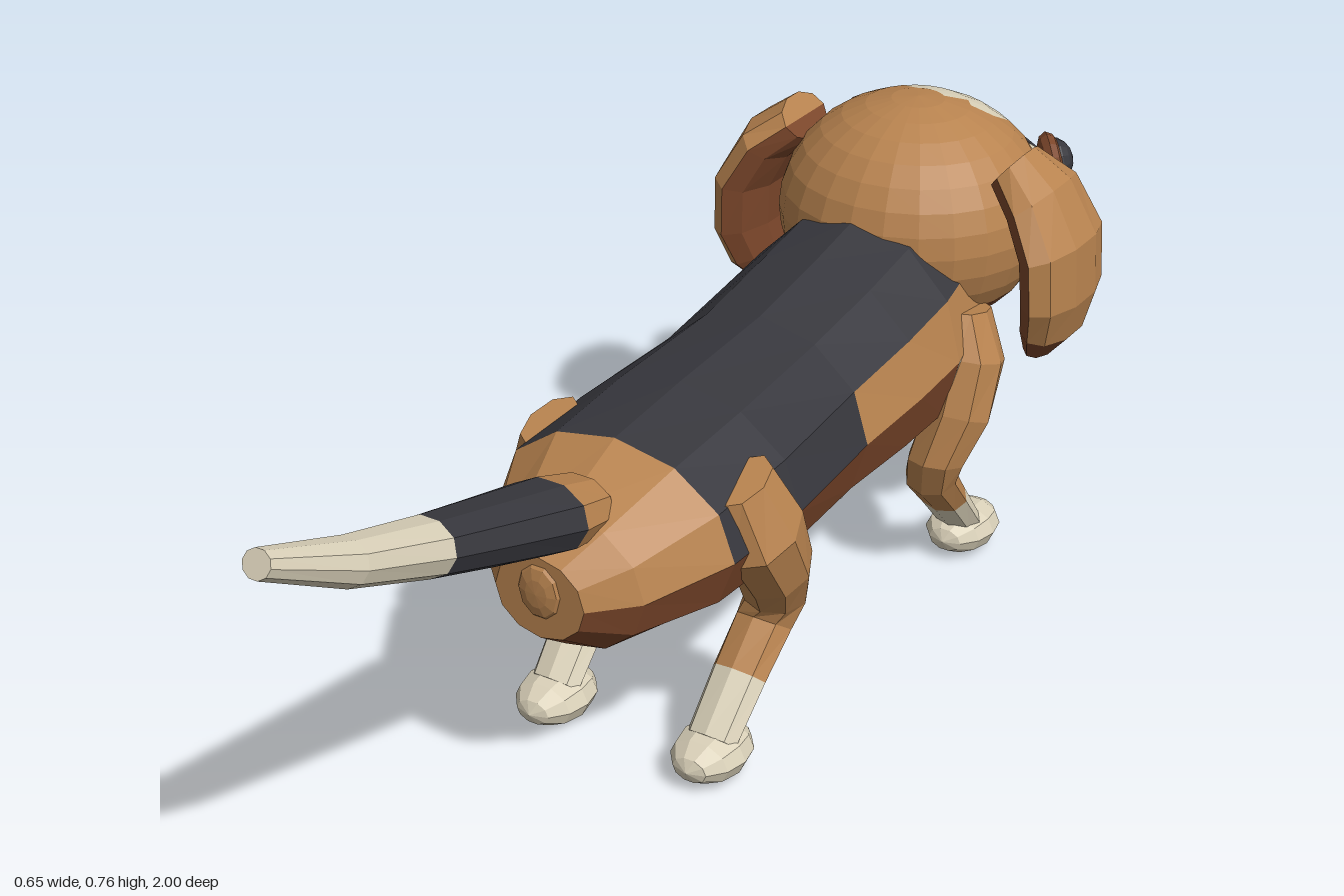
import * as THREE from 'three';

const mat = (name, color) => {
  const m = new THREE.MeshStandardMaterial({ color, flatShading: true });
  m.name = name;
  return m;
};

export function createModel() {
  const dog = new THREE.Group();
  dog.name = 'dog';
  const TAN = 0, CHESTNUT = 1, CREAM = 2, BLACK = 3;
  const mats = [mat('tan', 0xb8834f), mat('chestnut', 0x7c472b), mat('cream', 0xdad1b9), mat('charcoal', 0x37373d)];

  // Mesh from faces sorted by colour; each face is a list of triangle corners
  function painted(name, faces) {
    const geo = new THREE.BufferGeometry(), pos = [], used = [];
    mats.forEach((m, k) => {
      const start = pos.length / 3;
      faces.filter(f => f.color === k).forEach(f => f.points.forEach(p => pos.push(p.x, p.y, p.z)));
      const count = pos.length / 3 - start;
      if (count) { geo.addGroup(start, count, used.length); used.push(m); }
    });
    geo.setAttribute('position', new THREE.Float32BufferAttribute(pos, 3));
    geo.computeVertexNormals();
    const mesh = new THREE.Mesh(geo, used.length > 1 ? used : used[0]);
    mesh.name = name;
    dog.add(mesh);
    return mesh;
  }

  // Skin over rings [x, y, z, ru, rv]; u is the ring's fixed axis, v follows the path
  function loft(name, rings, u, sides, colorOf, fixedDir) {
    const centres = rings.map(r => new THREE.Vector3(r[0], r[1], r[2]));
    const loops = rings.map((r, i) => {
      const d = fixedDir ?? centres[Math.min(i + 1, rings.length - 1)].clone()
        .sub(centres[Math.max(i - 1, 0)]).normalize();
      const v = d.clone().cross(u).normalize();
      return Array.from({ length: sides }, (_, j) => {
        const a = j / sides * Math.PI * 2;
        return centres[i].clone().addScaledVector(u, Math.cos(a) * r[3]).addScaledVector(v, Math.sin(a) * r[4]);
      });
    });
    const faces = [], last = rings.length - 1;
    for (let j = 0; j < sides; j++) {
      const k = (j + 1) % sides, angle = (j + 0.5) / sides * Math.PI * 2;
      for (let i = 0; i < last; i++) {
        const a = loops[i][j], b = loops[i][k], c = loops[i + 1][k], d = loops[i + 1][j];
        const mid = a.clone().add(b).add(c).add(d).multiplyScalar(0.25);
        faces.push({ color: colorOf(mid, i, angle), points: [a, b, c, a, c, d] });
      }
      faces.push({ color: colorOf(centres[0], 0, angle), points: [centres[0], loops[0][k], loops[0][j]] });
      faces.push({ color: colorOf(centres[last], last, angle), points: [centres[last], loops[last][j], loops[last][k]] });
    }
    return painted(name, faces);
  }

  // Ellipsoid with its poles on the z axis
  function ellipsoid(name, color, at, radii, w = 12, h = 8, parent = dog) {
    const geo = new THREE.SphereGeometry(1, w, h).rotateX(Math.PI / 2).scale(...radii);
    const mesh = new THREE.Mesh(geo, mats[color]);
    mesh.name = name;
    mesh.position.set(...at);
    parent.add(mesh);
    return mesh;
  }

  const X = new THREE.Vector3(1, 0, 0), Z = new THREE.Vector3(0, 0, 1);

  // Body: [z, bottom, top, half width] from neck to rump
  const bodyRings = [
    [-0.72, 0.39, 0.60, 0.11], [-0.58, 0.275, 0.62, 0.17], [-0.45, 0.225, 0.62, 0.195],
    [-0.33, 0.23, 0.595, 0.195], [-0.17, 0.24, 0.568, 0.19], [0.05, 0.245, 0.555, 0.205],
    [0.22, 0.255, 0.54, 0.20], [0.35, 0.268, 0.485, 0.135], [0.41, 0.31, 0.44, 0.075],
  ].map(([z, lo, hi, w]) => [0, (lo + hi) / 2, z, w, (hi - lo) / 2]);
  loft('body', bodyRings, X, 12, (p, i, angle) => {
    const up = Math.sin(angle);
    if (i === 8) return TAN;
    if (up < 0) {
      if (i < 2 || (i === 2 && up > -0.8 && up < -0.5)) return CREAM;
      return CHESTNUT;
    }
    if (i >= 6 || i < 1) return TAN;
    return up > (i < 4 ? 0.5 : 0) ? BLACK : TAN;
  }, Z);
  ellipsoid('rump', TAN, [0, 0.385, 0.408], [0.037, 0.045, 0.012], 10, 6);

  // Tail with dark middle and pale tip
  loft('tail', [
    [0, 0.475, 0.31, 0.06, 0.045], [0, 0.497, 0.39, 0.072, 0.052], [0.008, 0.545, 0.53, 0.062, 0.047],
    [0.012, 0.592, 0.67, 0.052, 0.041], [0.024, 0.66, 0.84, 0.039, 0.033], [0.02, 0.733, 0.992, 0.022, 0.02],
  ], X, 10, (p, i) => (i < 1 ? TAN : i < 3 ? BLACK : CREAM));

  // Head with a pale blaze
  const headGeo = new THREE.SphereGeometry(1, 24, 16).scale(0.22, 0.19, 0.215).translate(0, 0.57, -0.645).toNonIndexed();
  const hp = headGeo.attributes.position, headFaces = [];
  for (let t = 0; t < hp.count; t += 3) {
    const points = [0, 1, 2].map(k => new THREE.Vector3().fromBufferAttribute(hp, t + k));
    const c = points[0].clone().add(points[1]).add(points[2]).divideScalar(3), ax = Math.abs(c.x);
    const blaze = c.z < -0.69 && ax < 0.105 && c.y > 0.6;
    const cheek = c.z < -0.75 && ax < 0.15 && c.y < 0.6;
    const jowl = c.y < 0.47 && ax > 0.06;
    headFaces.push({ color: blaze || cheek ? CREAM : jowl ? CHESTNUT : TAN, points });
  }
  painted('head', headFaces);

  ellipsoid('muzzle', CREAM, [0, 0.54, -0.86], [0.152, 0.073, 0.125], 16, 10);
  ellipsoid('lowerJaw', CREAM, [0, 0.473, -0.85], [0.115, 0.042, 0.11], 14, 8);
  ellipsoid('nose', BLACK, [0, 0.548, -0.972], [0.065, 0.036, 0.028], 12, 8);

  for (const s of [1, -1]) {
    const side = s > 0 ? 'left' : 'right';

    // Eye: dark ball in a brown rim
    const eye = new THREE.Group();
    eye.name = side + 'Eye';
    eye.position.set(s * 0.172, 0.638, -0.785);
    eye.lookAt(s * 0.96, 0.84, -1.35);
    ellipsoid('eyeRim', CHESTNUT, [0, 0, 0], [0.052, 0.047, 0.022], 12, 6, eye);
    ellipsoid('eyeball', BLACK, [0, 0, 0.006], [0.038, 0.036, 0.03], 12, 8, eye);
    dog.add(eye);

    // Drooping ear flap, brown inside
    loft(side + 'Ear', [
      [0.19, 0.695, -0.615, 0.06, 0.04], [0.24, 0.655, -0.615, 0.095, 0.045], [0.278, 0.585, -0.615, 0.112, 0.047],
      [0.282, 0.50, -0.62, 0.112, 0.045], [0.268, 0.44, -0.63, 0.095, 0.04], [0.245, 0.39, -0.64, 0.055, 0.022],
    ].map(([x, ...r]) => [s * x, ...r]), Z, 10,
    (p, i, angle) => (i < 4 && -s * Math.sin(angle) > 0.1 ? TAN : CHESTNUT));

    // Legs: bent limbs with pale socks
    const legColor = (p, i) => (i < 5 ? TAN : CREAM);
    const legs = {
      HindLeg: [
        [0.165, 0.485, 0.145, 0.035, 0.06], [0.183, 0.40, 0.125, 0.058, 0.075], [0.175, 0.31, 0.07, 0.058, 0.06],
        [0.158, 0.24, 0.036, 0.05, 0.046], [0.145, 0.195, 0.048, 0.047, 0.038], [0.142, 0.135, 0.112, 0.045, 0.03],
        [0.14, 0.06, 0.185, 0.042, 0.026]],
      FrontLeg: [
        [0.165, 0.475, -0.535, 0.03, 0.05], [0.183, 0.40, -0.52, 0.05, 0.062], [0.178, 0.31, -0.485, 0.055, 0.055],
        [0.158, 0.235, -0.456, 0.048, 0.044], [0.145, 0.195, -0.466, 0.045, 0.036], [0.142, 0.135, -0.52, 0.043, 0.03],
        [0.14, 0.06, -0.585, 0.04, 0.026]],
    };
    for (const [part, rings] of Object.entries(legs)) {
      loft(side + part, rings.map(([x, ...r]) => [s * x, ...r]), X, 8, legColor);
      const z = part === 'HindLeg' ? 0.183 : -0.6;
      ellipsoid(side + part.replace('Leg', 'Paw'), CREAM, [s * 0.14, 0.04, z], [0.058, 0.04, 0.073], 10, 6);
    }
  }
  return dog;
}
